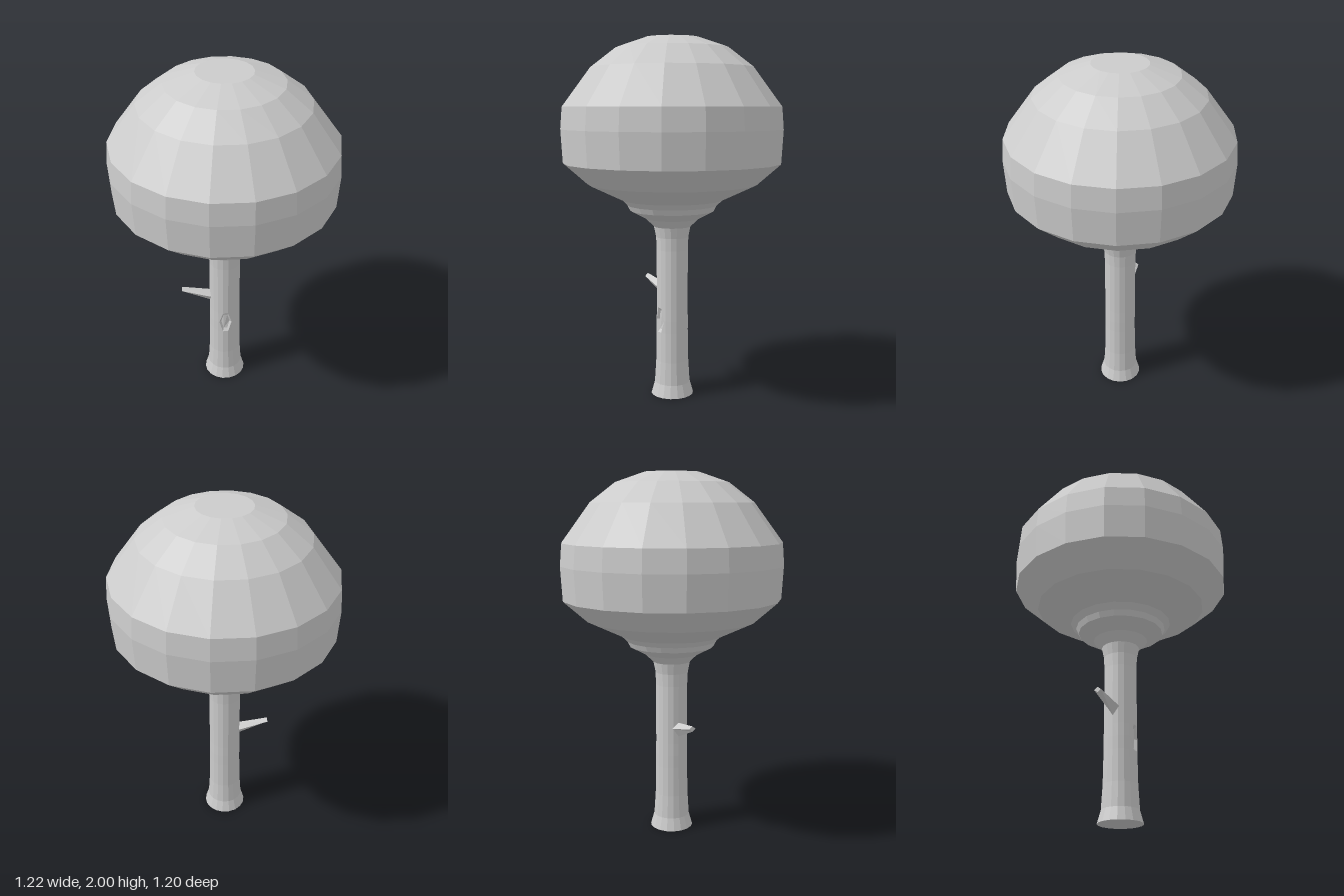
import * as THREE from 'three';

const SIDES = 18;
const material = () => new THREE.MeshStandardMaterial({ color: 0xcccccc, flatShading: true });

// Faceted lathe with a flat facet at the front and a corner on the x axis
function facetedLathe(profile) {
  const points = profile.map(([r, y]) => new THREE.Vector2(r, y));
  return new THREE.LatheGeometry(points, SIDES, Math.PI / SIDES);
}

// Surface through loops of corners (counter-clockwise seen from the far end), last loop capped
function loft(loops) {
  const n = loops[0].length, index = [];
  for (let k = 0; k < loops.length - 1; k++) {
    for (let i = 0; i < n; i++) {
      const a = k * n + i, b = k * n + (i + 1) % n;
      index.push(a, b, b + n, a, b + n, a + n);
    }
  }
  const end = (loops.length - 1) * n;
  for (let i = 1; i < n - 1; i++) index.push(end, end + i, end + i + 1);
  const geometry = new THREE.BufferGeometry();
  geometry.setAttribute('position', new THREE.Float32BufferAttribute(loops.flat(2), 3));
  geometry.setIndex(index);
  geometry.computeVertexNormals();
  return geometry;
}

export function createModel() {
  const tree = new THREE.Group();
  tree.name = 'tree';
  const add = (name, geometry) => {
    const mesh = new THREE.Mesh(geometry, material());
    mesh.name = name;
    tree.add(mesh);
  };

  // Crown
  add('crown', facetedLathe([
    [0, 1.06], [0.235, 1.06], [0.25, 1.09], [0.28, 1.12], [0.47, 1.21], [0.6, 1.325],
    [0.61, 1.51], [0.6, 1.63], [0.444, 1.84], [0.307, 1.945], [0.147, 2], [0, 2],
  ]));

  // Trunk, flared at both ends
  const profile = [
    [0, 0], [0.12, 0], [0.1, 0.07], [0.092, 0.2], [0.089, 0.37], [0.089, 0.44], [0.088, 0.51],
    [0.088, 0.84], [0.091, 0.91], [0.103, 0.97], [0.15, 1.015], [0.235, 1.06],
  ];
  const trunk = facetedLathe(profile);
  const rows = profile.length, middle = 5;

  // Widen the front facet at the knot, then open it there
  const position = trunk.attributes.position;
  const knotWidth = 0.036, knotZ = 0.081;
  for (const i of [0, SIDES - 1, SIDES]) {
    const v = i * rows + middle;
    position.setXYZ(v, i === SIDES - 1 ? -knotWidth : knotWidth, 0.44, knotZ);
  }
  const index = Array.from(trunk.index.array);
  const open = [];
  for (let f = 0; f < index.length; f += 3) {
    const face = index.slice(f, f + 3);
    const inKnot = face.every((v) => v >= (SIDES - 1) * rows && Math.abs(v % rows - middle) <= 1);
    if (!inKnot) open.push(...face);
  }
  trunk.setIndex(open);
  add('trunk', trunk);

  // Knot hollow, inset into the opening
  const corner = (column, row) => {
    const v = column * rows + row;
    return [position.getX(v), position.getY(v), position.getZ(v)];
  };
  const left = SIDES - 1, right = SIDES;
  const rim = [
    corner(left, middle - 1), corner(right, middle - 1), corner(right, middle),
    corner(right, middle + 1), corner(left, middle + 1), corner(left, middle),
  ];
  const hollow = rim.map(([x, y, z]) => [x * 0.68, 0.44 + (y - 0.44) * 0.75, z - 0.012]);
  add('knot', loft([rim, hollow]));

  // Branch stub with a diamond section, pointing to -x
  const diamond = (x, top, mid, bottom, w) => [[x, top, 0], [x, mid, -w], [x, bottom, 0], [x, mid, w]];
  add('branch', loft([
    diamond(-0.07, 0.63, 0.598, 0.545, 0.036),
    diamond(-0.25, 0.656, 0.64, 0.626, 0.02),
  ]));

  return tree;
}
